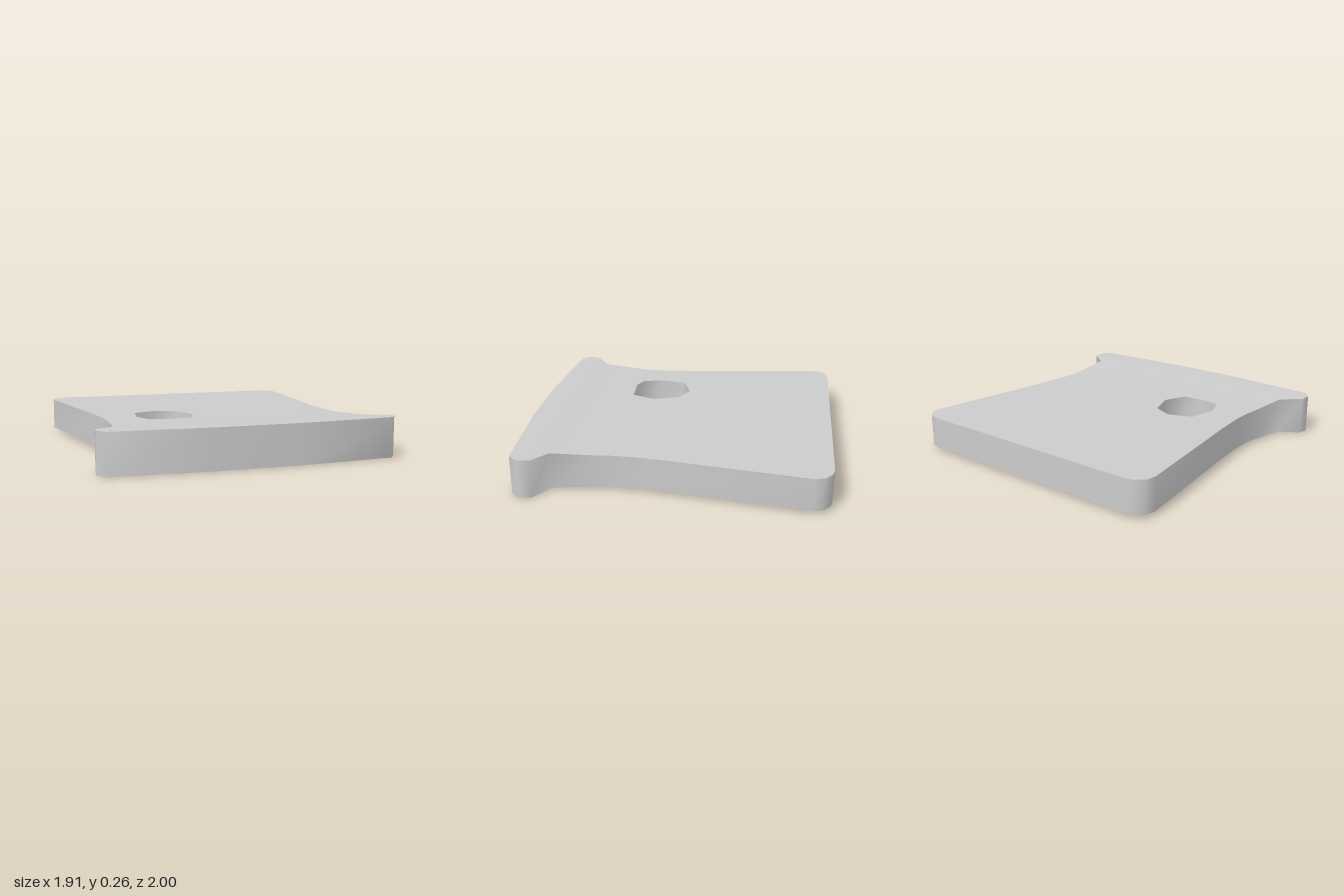
import * as THREE from 'three';
import { toCreasedNormals } from 'three/addons/utils/BufferGeometryUtils.js';

// Right half of the outline as [x, z]: the first six rows are the thickened front lip
const LIP = [[0.27, 1], [0.91, 0.955], [0.955, 0.895], [0.945, 0.82], [0.82, 0.73], [0.784, 0.44]];
const BODY = [[0.784, 0.44], [0.775, 0.35], [0.777, 0.23], [0.8, 0], [0.92, -0.88], [0.905, -0.94], [0.855, -0.985], [0.79, -1]];
const HOLE = [[-0.365, 0.02], [-0.24, 0.08], [-0.18, 0.25], [-0.24, 0.4], [-0.36, 0.438], [-0.51, 0.38], [-0.55, 0.26], [-0.52, 0.08]];

const mirrored = (half) => [...half, ...half.map(([x, z]) => [-x, z]).reverse()];
const toVec2 = (pts) => pts.map(([x, z]) => new THREE.Vector2(x, -z));

// Top and bottom faces spread apart towards the front lip
const flare = (z) => 0.022 * THREE.MathUtils.clamp((z - 0.44) / 0.44, 0, 1);
const topY = (z) => 0.234 + flare(z);
const bottomY = (z) => 0.022 - flare(z);

// The hole is slightly wider at the top
const HOLE_TOP = HOLE.map(([x, z]) => [-0.365 + (x + 0.365) * 1.04, 0.23 + (z - 0.23) * 1.04]);

function createPlate() {
  const pos = [];
  const put = ([x, z], heightAt) => pos.push(x, heightAt(z), z);

  // Flat face from an outline, optionally pierced by the hole
  function cap(outline, hole, isTop) {
    const shape = new THREE.Shape(toVec2(outline));
    if (hole) shape.holes.push(new THREE.Path(toVec2(hole)));
    const geo = new THREE.ShapeGeometry(shape);
    const p = geo.attributes.position;
    const idx = geo.index.array;
    for (let i = 0; i < idx.length; i += 3) {
      const tri = isTop ? [idx[i], idx[i + 1], idx[i + 2]] : [idx[i], idx[i + 2], idx[i + 1]];
      tri.forEach((k) => put([p.getX(k), -p.getY(k)], isTop ? topY : bottomY));
    }
  }

  // Vertical band joining a bottom loop to a top loop
  function wall(lower, upper) {
    lower.forEach((a, i) => {
      const j = (i + 1) % lower.length;
      const b = lower[j];
      put(a, bottomY); put(b, bottomY); put(upper[j], topY);
      put(a, bottomY); put(upper[j], topY); put(upper[i], topY);
    });
  }

  for (const isTop of [true, false]) {
    cap(mirrored(BODY), isTop ? HOLE_TOP : HOLE, isTop);
    // Lip faces in strips, so the flare follows the depth
    for (let i = 0; i < LIP.length - 1; i++) cap(mirrored([LIP[i], LIP[i + 1]]), null, isTop);
  }
  const outline = mirrored([...LIP, ...BODY.slice(1)]);
  wall(outline, outline);
  wall(HOLE, HOLE_TOP);

  const geo = new THREE.BufferGeometry();
  geo.setAttribute('position', new THREE.Float32BufferAttribute(pos, 3));
  return toCreasedNormals(geo, 1.0);
}

export function createModel() {
  const group = new THREE.Group();
  group.name = 'piercedPlate';
  const plate = new THREE.Mesh(createPlate(), new THREE.MeshStandardMaterial({ color: 0xcccccc }));
  plate.name = 'plate';
  group.add(plate);
  return group;
}
